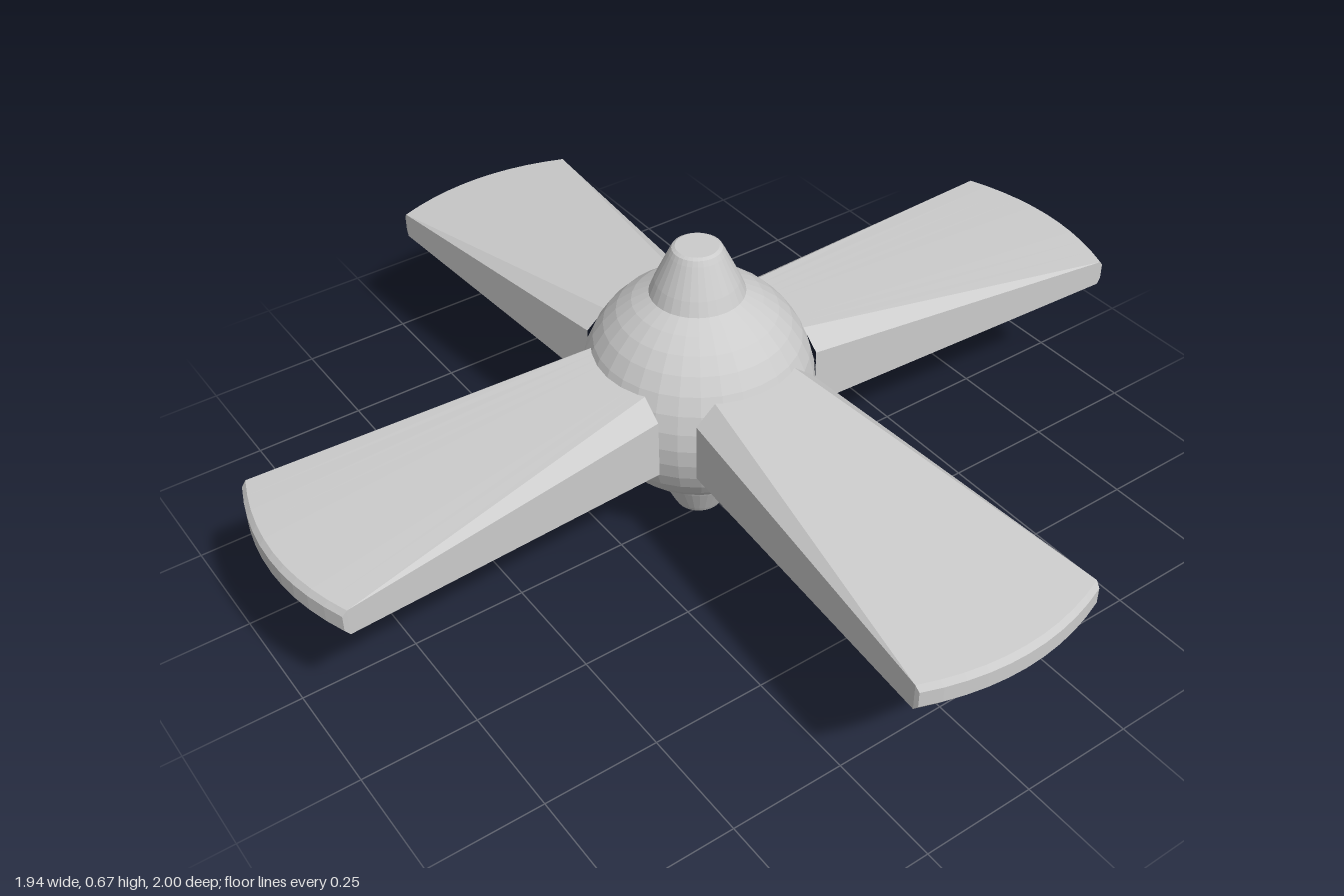
import * as THREE from 'three';

const material = new THREE.MeshStandardMaterial({ color: 0xcccccc, flatShading: true });
const MID = 0.335; // height of the symmetry plane

// Ball-shaped hub with a truncated cone on each pole
function createHub() {
  const R = 0.248;
  const half = [];
  const steps = 7;
  const last = Math.acos(0.1 / R);
  for (let i = 1; i <= steps; i++) {
    const a = (last * i) / steps;
    half.push([R * Math.cos(a), R * Math.sin(a)]);
  }
  half.push([0.088, 0.257], [0.058, 0.32], [0.052, 0.331], [0.045, 0.335], [0, 0.335]);
  const lower = half.map(([r, y]) => [r, -y]).reverse();
  const profile = [...lower, [R, 0], ...half].map(([r, y]) => new THREE.Vector2(r, y));
  const hub = new THREE.Mesh(new THREE.LatheGeometry(profile, 32), material);
  hub.name = 'hub';
  return hub;
}

// Blade along +z: octagonal root tapering to a thin, arched, bevelled tip
function createBladeGeometry(length) {
  const N = 11;
  const loop = (flatW, flatY, sideW, sideY, zAt) => {
    const pts = [];
    const row = (dir) => {
      for (let i = 0; i < N; i++) {
        const t = dir * ((2 * i) / (N - 1) - 1);
        pts.push(new THREE.Vector3(t * flatW, dir * flatY, zAt(t)));
      }
    };
    const side = (dir) => {
      pts.push(new THREE.Vector3(dir * sideW, dir * sideY, zAt(1)));
      pts.push(new THREE.Vector3(dir * sideW, -dir * sideY, zAt(1)));
    };
    row(1);
    side(1);
    row(-1);
    side(-1);
    return pts;
  };
  const arc = (end) => (t) => end - 0.043 * t * t;
  const loops = [
    loop(0.1, 0.105, 0.146, 0.067, () => 0.2),
    loop(0.218, 0.03, 0.218, 0.03, arc(length - 0.01)),
    loop(0.216, 0.018, 0.216, 0.018, arc(length)),
  ];

  const tris = [];
  const quad = (a, b, c, d) => tris.push(a, b, c, a, c, d);
  // Skin between neighbouring sections
  for (let k = 0; k < 2; k++) {
    const A = loops[k], B = loops[k + 1];
    for (let i = 0; i < A.length; i++) {
      const j = (i + 1) % A.length;
      quad(A[i], B[i], B[j], A[j]);
    }
  }
  // Tip face
  const rim = loops[2];
  const under = (i) => rim[2 * N + 1 - i];
  for (let i = 0; i < N - 1; i++) quad(rim[i], under(i), under(i + 1), rim[i + 1]);

  const geometry = new THREE.BufferGeometry().setFromPoints(tris);
  geometry.computeVertexNormals();
  return geometry;
}

export function createModel() {
  const model = new THREE.Group();
  model.name = 'fourBladedRotor';

  const rotor = new THREE.Group();
  rotor.name = 'rotor';
  rotor.position.set(-0.03, MID, 0.023);
  rotor.add(createHub());

  // Blades differ slightly in length
  const blades = [
    ['frontBlade', 0, 0.977],
    ['leftBlade', Math.PI / 2, 1.0],
    ['backBlade', Math.PI, 1.023],
    ['rightBlade', -Math.PI / 2, 0.94],
  ];
  for (const [name, angle, length] of blades) {
    const blade = new THREE.Mesh(createBladeGeometry(length), material);
    blade.name = name;
    blade.rotation.y = angle;
    rotor.add(blade);
  }

  model.add(rotor);
  return model;
}
